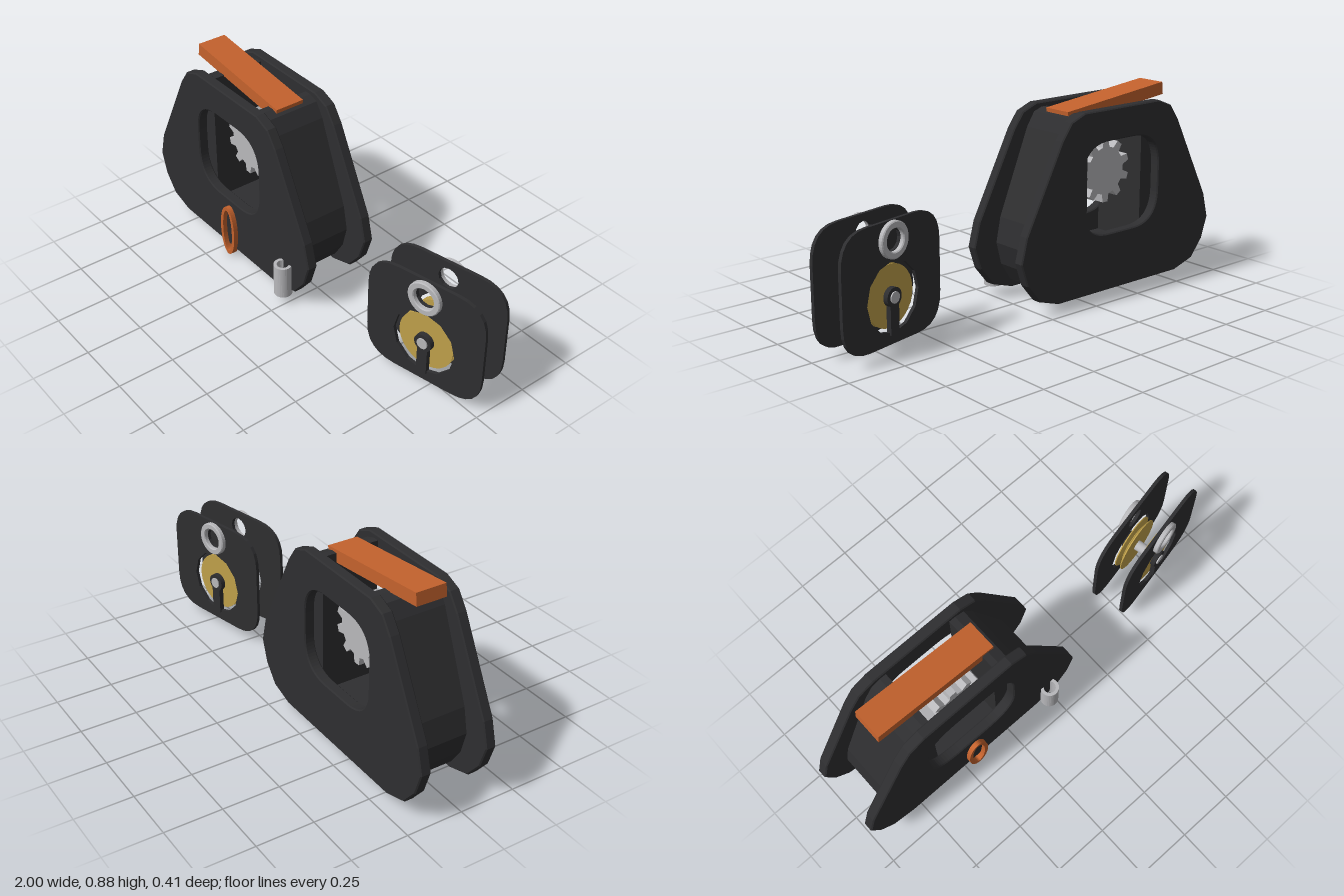
import * as THREE from 'three';

const mat = (color, flat = false) => new THREE.MeshStandardMaterial({ color, flatShading: flat });
const dark = mat(0x2e2e30, true);
const orange = mat(0xc4622d);
const brass = mat(0xbfa04a);
const steel = mat(0xb8b8bb);

function add(parent, name, geometry, material, x = 0, y = 0, z = 0) {
  const mesh = new THREE.Mesh(geometry, material);
  mesh.name = name;
  mesh.position.set(x, y, z);
  parent.add(mesh);
  return mesh;
}

// Extrusion centred on z = 0, with an optional small edge bevel
function slab(shape, depth, bevel = 0, curveSegments = 16) {
  const g = new THREE.ExtrudeGeometry(shape, {
    depth: depth - 2 * bevel, curveSegments, bevelEnabled: bevel > 0,
    bevelThickness: bevel, bevelSize: bevel, bevelOffset: -bevel, bevelSegments: 1,
  });
  return g.translate(0, 0, -(depth / 2 - bevel));
}

const points = (list) => list.map(([x, y]) => new THREE.Vector2(x, y));

function roundedRect(path, hw, hh, r, cy = 0) {
  const b = cy - hh, t = cy + hh;
  path.moveTo(hw - r, b);
  path.quadraticCurveTo(hw, b, hw, b + r).lineTo(hw, t - r);
  path.quadraticCurveTo(hw, t, hw - r, t).lineTo(-hw + r, t);
  path.quadraticCurveTo(-hw, t, -hw, t - r).lineTo(-hw, b + r);
  path.quadraticCurveTo(-hw, b, -hw + r, b).lineTo(hw - r, b);
  return path;
}

function ellipse(path, rx, ry, cx = 0, cy = 0) {
  path.absellipse(cx, cy, rx, ry, 0, Math.PI * 2, false, 0);
  return path;
}

function ringShape(rx, ry, width) {
  const s = ellipse(new THREE.Shape(), rx, ry);
  s.holes.push(ellipse(new THREE.Path(), rx - width, ry - width));
  return s;
}

// Right half of the housing outline, bottom to top
const half = [[0.355, 0.036], [0.465, 0.07], [0.53, 0.15], [0.563, 0.25],
  [0.535, 0.36], [0.345, 0.73], [0.295, 0.80], [0.22, 0.83]];

function gearShape(teeth, root, tip) {
  const list = [];
  const step = (Math.PI * 2) / teeth;
  for (let i = 0; i < teeth; i++) {
    const a = Math.PI / 2 + i * step;
    for (const [f, r] of [[-0.3, root], [-0.17, tip], [0.17, tip], [0.3, root]]) {
      list.push([r * Math.cos(a + f * step), r * Math.sin(a + f * step)]);
    }
  }
  return new THREE.Shape(points(list));
}

function createHousing() {
  const group = new THREE.Group();
  group.name = 'housing';
  group.position.x = -0.437;

  // Two side plates with a rounded window
  const outline = [...half, ...half.map(([x, y]) => [-x, y]).reverse()];
  const plate = new THREE.Shape(points(outline));
  plate.holes.push(roundedRect(new THREE.Path(), 0.223, 0.202, 0.15, 0.491));
  const plateGeo = slab(plate, 0.047, 0.005);
  add(group, 'frontPlate', plateGeo, dark, 0, 0, 0.1235);
  add(group, 'backPlate', plateGeo, dark, 0, 0, -0.1775);

  // Narrower core, slotted open at the top
  const side = half.map(([x, y]) => [x * 0.79, Math.min(y + 0.004, 0.81)]);
  side[6][1] = 0.795;
  side[7][0] = 0.19;
  const core = new THREE.Shape(points([
    ...side, [0.16, 0.81], [0.16, 0.2], [-0.16, 0.2], [-0.16, 0.81],
    ...side.map(([x, y]) => [-x, y]).reverse(),
  ]));
  add(group, 'core', slab(core, 0.255), dark, 0, 0, -0.0275);

  // Toothed wheel inside the window
  add(group, 'gear', slab(gearShape(10, 0.105, 0.14), 0.145), steel, 0, 0.535, -0.03);

  // Tilted lever on top
  const lever = add(group, 'lever', new THREE.BoxGeometry(0.57, 0.055, 0.135), orange, -0.068, 0.822, -0.027);
  lever.rotation.z = -0.109;

  // Oval loop and vertical sleeve on the front plate
  add(group, 'loop', slab(ringShape(0.051, 0.128, 0.018), 0.028, 0, 24), orange, 0, 0.13, 0.154);
  const sleeve = slab(ringShape(0.04, 0.04, 0.014), 0.152).rotateX(Math.PI / 2);
  add(group, 'sleeve', sleeve, steel, 0.41, 0.121, 0.165);
  return group;
}

function createPulley() {
  const group = new THREE.Group();
  group.name = 'pulleyBlock';
  group.position.set(0.712, 0, -0.031);
  group.rotation.y = 0.214;
  const wheelY = 0.225, ringY = 0.455;

  const cheek = roundedRect(new THREE.Shape(), 0.275, 0.247, 0.14, 0.284);
  cheek.holes.push(ellipse(new THREE.Path(), 0.145, 0.145, 0, wheelY));
  cheek.holes.push(ellipse(new THREE.Path(), 0.047, 0.047, 0, ringY));
  const cheekGeo = slab(cheek, 0.015, 0, 6);

  // Hub with a strut down to the rim of the large hole
  const arm = new THREE.Shape();
  arm.moveTo(-0.024, -0.15).lineTo(0.024, -0.15).lineTo(0.024, -0.032);
  arm.absarc(0, 0, 0.04, -0.927, Math.PI + 0.927, false);
  arm.lineTo(-0.024, -0.15);
  const armGeo = slab(arm, 0.022);

  // Grooved wheel, thin flanges either side of a V
  const wheelGeo = new THREE.LatheGeometry(points([[0, -0.016], [0.128, -0.016], [0.128, -0.011],
    [0.095, -0.001], [0.095, 0.001], [0.128, 0.011], [0.128, 0.016], [0, 0.016]]), 40)
    .toNonIndexed().rotateX(Math.PI / 2);
  wheelGeo.computeVertexNormals();
  const eyeGeo = slab(ringShape(0.075, 0.075, 0.028), 0.024, 0.004, 20);

  for (const [label, s] of [['front', 1], ['back', -1]]) {
    add(group, label + 'Cheek', cheekGeo, dark, 0, 0, s * 0.0725);
    add(group, label + 'Arm', armGeo, dark, 0, wheelY, s * 0.0755);
    add(group, label + 'Wheel', wheelGeo, brass, 0, wheelY, s * 0.047);
    add(group, label + 'Eyelet', eyeGeo, steel, 0, ringY, s * 0.089);
  }

  // Shaft through both wheels
  const shaft = new THREE.CylinderGeometry(0.024, 0.024, 0.184, 24).rotateX(Math.PI / 2);
  add(group, 'shaft', shaft, steel, 0, wheelY, 0);
  return group;
}

export function createModel() {
  const model = new THREE.Group();
  model.name = 'housingAndPulley';
  model.add(createHousing(), createPulley());
  return model;
}
